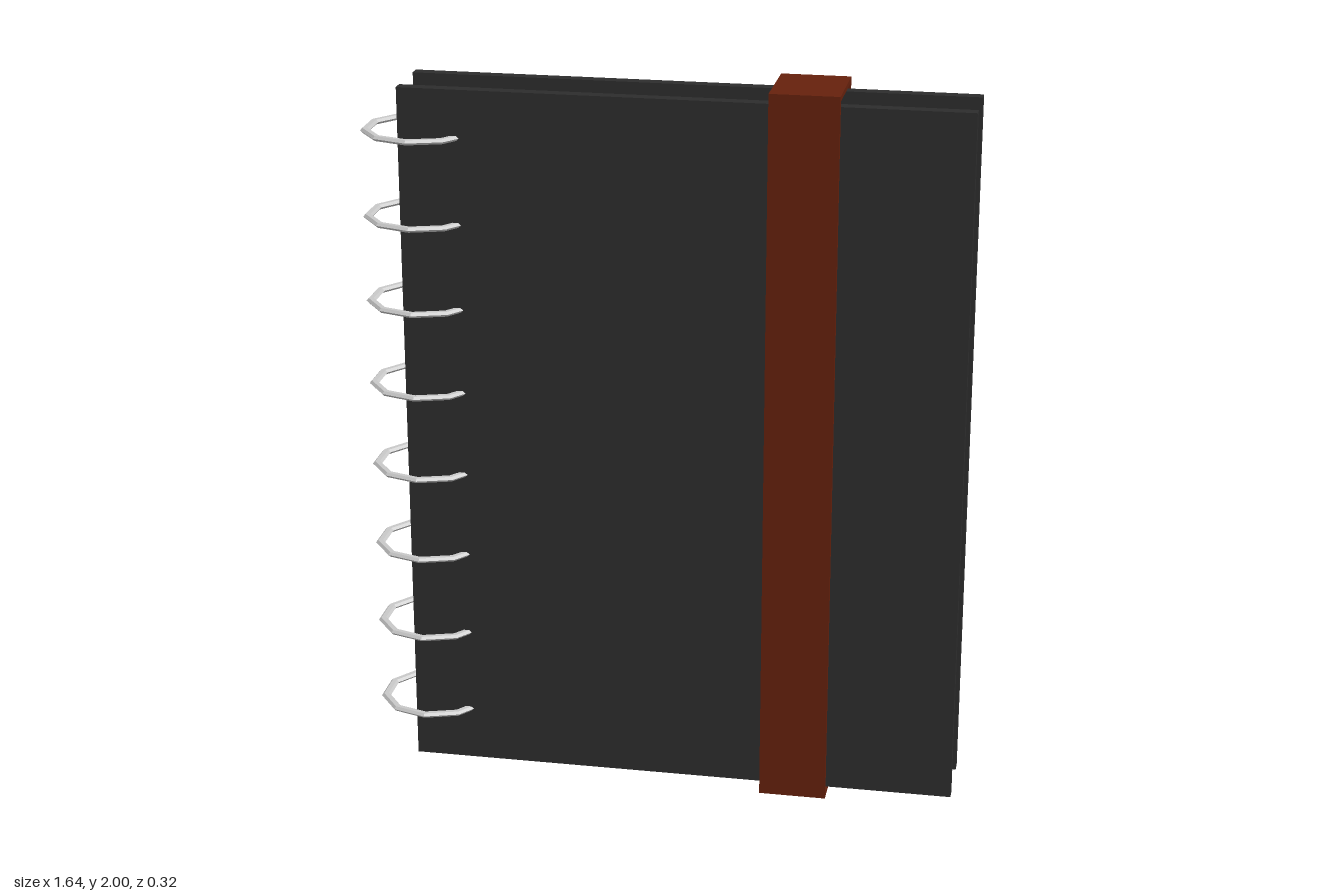
import * as THREE from 'three';

const mat = (name, color, extra = {}) => {
  const m = new THREE.MeshStandardMaterial({ color, ...extra });
  m.name = name;
  return m;
};

export function createModel() {
  const black = mat('coverBlack', 0x2d2d2d);
  const paper = mat('paperGrey', 0xc9c9c9);
  const metal = mat('ringMetal', 0xc8c8c8, { flatShading: true });
  const brown = mat('strapBrown', 0x66210d);

  const model = new THREE.Group();
  model.name = 'ringNotebook';

  // The whole book leans slightly about the vertical axis
  const book = new THREE.Group();
  book.name = 'book';
  book.position.set(0.055, 1, -0.032);
  book.rotation.y = 0.0245;
  model.add(book);

  const box = (name, w, h, d, x, y, z, material, parent = book) => {
    const m = new THREE.Mesh(new THREE.BoxGeometry(w, h, d), material);
    m.name = name;
    m.position.set(x, y, z);
    parent.add(m);
    return m;
  };

  // Covers and page block
  box('frontCover', 1.52, 1.94, 0.033, 0, 0, 0.084, black);
  box('backCover', 1.52, 1.94, 0.033, 0, 0, -0.084, black);
  box('pages', 1.39, 1.815, 0.135, -0.03, 0, 0, paper);

  // Closing strap: a hollow loop around the book
  const outline = (s, hz, hy) => {
    s.moveTo(-hz, -hy);
    s.lineTo(hz, -hy);
    s.lineTo(hz, hy);
    s.lineTo(-hz, hy);
    s.closePath();
    return s;
  };
  const loop = outline(new THREE.Shape(), 0.113, 1);
  loop.holes.push(outline(new THREE.Path(), 0.101, 0.986));
  const strapGeo = new THREE.ExtrudeGeometry(loop, { depth: 0.185, bevelEnabled: false });
  strapGeo.translate(0, 0, -0.0925).rotateY(Math.PI / 2);
  const strap = new THREE.Mesh(strapGeo, brown);
  strap.name = 'strap';
  strap.position.set(0.32, 0, 0.003);
  book.add(strap);

  // Ten-sided binding rings, flattened in height
  const ringGeo = new THREE.TorusGeometry(0.148, 0.013, 6, 10);
  ringGeo.rotateZ(Math.PI / 2).rotateX(Math.PI / 2).scale(1, 0.6, 1);
  const rings = new THREE.Group();
  rings.name = 'bindingRings';
  for (let i = 0; i < 8; i++) {
    const ring = new THREE.Mesh(ringGeo, metal);
    ring.name = 'ring' + (i + 1);
    ring.position.set(-0.72, -0.82 + i * 0.237, 0.014);
    rings.add(ring);
  }
  book.add(rings);

  return model;
}
